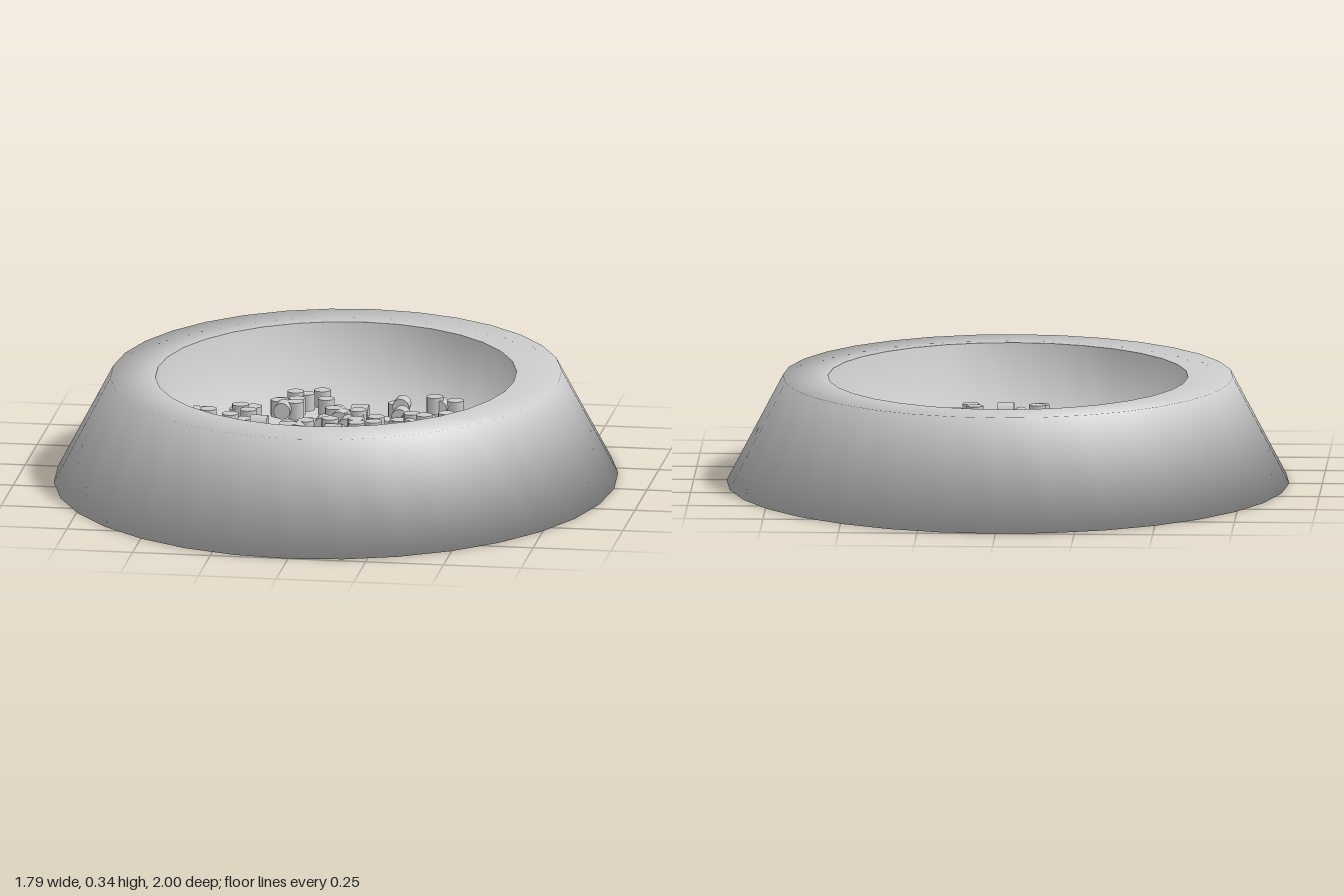
import * as THREE from 'three';
import { mergeGeometries } from 'three/addons/utils/BufferGeometryUtils.js';

const WIDTH = 0.895; // oval: narrower in x than in z

// small seeded generator
function seeded(seed) {
  return () => {
    seed = (seed * 1664525 + 1013904223) % 4294967296;
    return seed / 4294967296;
  };
}

// oval lathe from [radius, height] pairs
function ovalLathe(name, profile, material) {
  const geometry = new THREE.LatheGeometry(profile.map(([r, y]) => new THREE.Vector2(r, y)), 32);
  geometry.scale(WIDTH, 1, 1);
  const mesh = new THREE.Mesh(geometry, material);
  mesh.name = name;
  return mesh;
}

export function createModel() {
  const group = new THREE.Group();
  group.name = 'foodBowl';
  const grey = new THREE.MeshStandardMaterial({ color: 0xcccccc });
  const greyOpen = new THREE.MeshStandardMaterial({ color: 0xcccccc, side: THREE.DoubleSide });

  // base, sloping outer wall and flat rim
  group.add(ovalLathe('outerBowl', [[0, 0], [1, 0], [0.8, 0.34], [0.64, 0.34]], greyOpen));

  // inner wall and floor
  group.add(ovalLathe('innerBowl', [[0.64, 0.34], [0.58, 0.08], [0, 0.08]], greyOpen));

  // scattered kibble: short cylinders, some upright and some on their side
  const random = seeded(7);
  const pieces = [];
  for (let i = 0; i < 190; i++) {
    const piece = new THREE.CylinderGeometry(0.027, 0.027, 0.054, 12);
    const pose = random();
    if (pose > 0.8) piece.rotateZ(Math.PI / 2);
    else if (pose > 0.58) piece.rotateX(Math.PI / 2);
    const angle = random() * Math.PI * 2;
    const radius = 0.54 * Math.pow(random(), 0.6);
    piece.translate(
      radius * Math.cos(angle) * 0.94,
      0.107 + 0.04 * random(),
      radius * Math.sin(angle)
    );
    pieces.push(piece);
  }
  const kibble = new THREE.Mesh(mergeGeometries(pieces), grey);
  kibble.name = 'kibble';
  group.add(kibble);

  return group;
}
